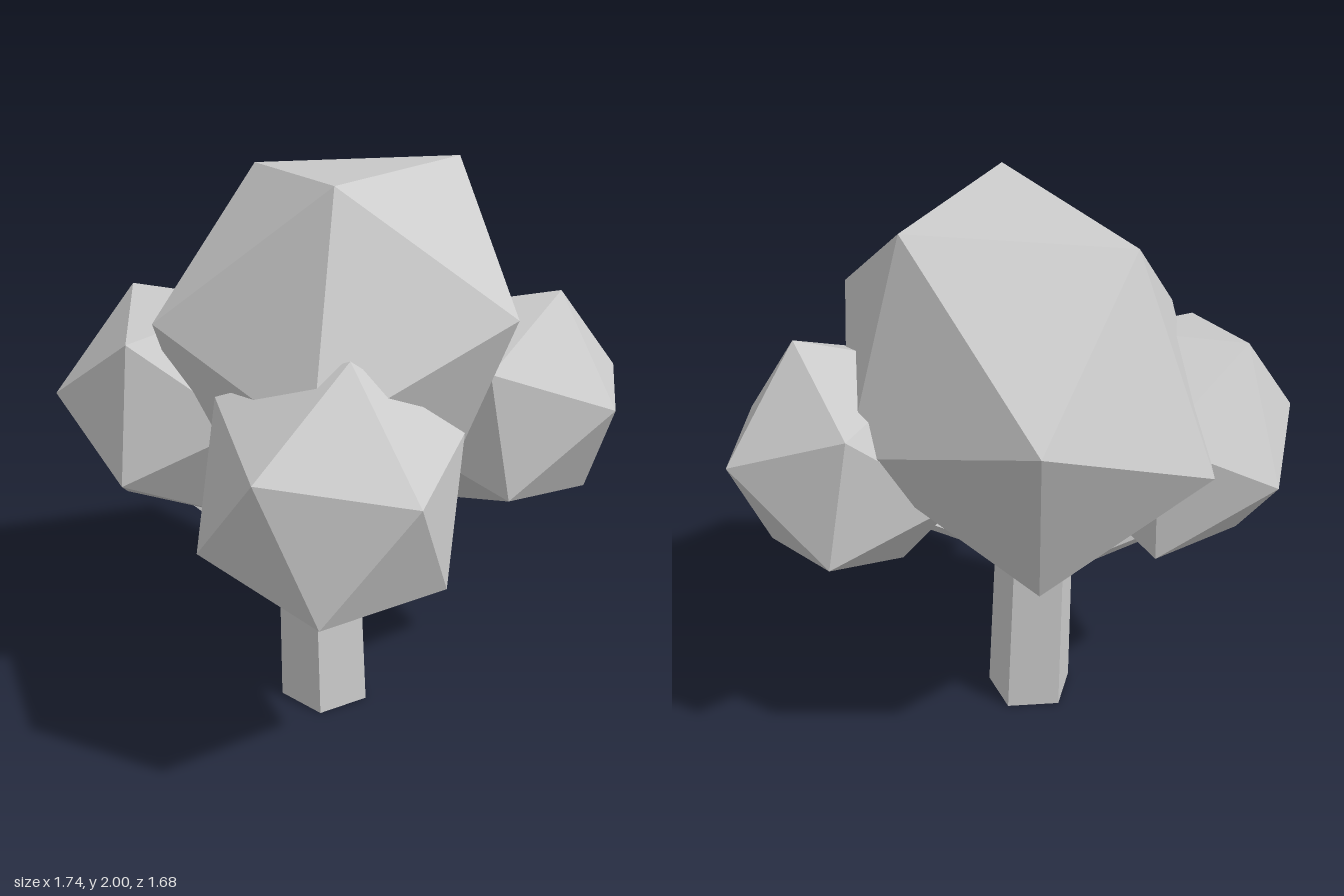
import * as THREE from 'three';
import { ConvexGeometry } from 'three/addons/geometries/ConvexGeometry.js';

const material = new THREE.MeshStandardMaterial({ color: 0xcccccc, flatShading: true });
const vec = (p) => new THREE.Vector3(...p);

function add(group, geometry, name) {
  const mesh = new THREE.Mesh(geometry, material);
  mesh.name = name;
  group.add(mesh);
  return mesh;
}

// Icosahedral leaf clump, set by its centre and the offsets of one face's corners.
// The corner across each edge follows from the golden ratio; the rest are opposite.
function leafClump(centre, a, b, c) {
  const o = vec(centre);
  const face = [a, b, c].map(vec);
  const k = (Math.sqrt(5) - 1) / 2;
  const across = face.map((v, i) =>
    face[(i + 1) % 3].clone().add(face[(i + 2) % 3]).multiplyScalar(k).sub(v));
  const points = [];
  for (const v of [...face, ...across]) points.push(o.clone().add(v), o.clone().sub(v));
  return new ConvexGeometry(points);
}

// Five-sided trunk, leaning slightly and narrowing to a blunt top
function trunkGeometry() {
  const profile = [[0, 0], [0.167, 0], [0.152, 0.7], [0.08, 0.92], [0, 0.92]]
    .map(([r, y]) => new THREE.Vector2(r, y));
  const geometry = new THREE.LatheGeometry(profile, 5, Math.PI);
  const pos = geometry.attributes.position;
  for (let i = 0; i < pos.count; i++) {
    pos.setX(i, pos.getX(i) + 0.015 - 0.035 * pos.getY(i));
    pos.setZ(i, pos.getZ(i) + 0.065);
  }
  return geometry;
}

// Short tapered branch between two points
function addBranch(group, from, to, name) {
  const start = vec(from), end = vec(to);
  const dir = end.clone().sub(start);
  const branch = add(group, new THREE.CylinderGeometry(0.045, 0.058, dir.length(), 5), name);
  branch.position.copy(start).add(end).multiplyScalar(0.5);
  branch.quaternion.setFromUnitVectors(new THREE.Vector3(0, 1, 0), dir.normalize());
}

export function createModel() {
  const group = new THREE.Group();
  group.name = 'tree';

  add(group, trunkGeometry(), 'trunk');

  addBranch(group, [-0.1, 0.585, 0.17], [-0.42, 0.77, 0.3], 'rightBranch');
  addBranch(group, [0.05, 0.56, 0.15], [0.31, 0.76, 0.36], 'leftBranch');
  addBranch(group, [0.09, 0.69, -0.01], [0.36, 0.92, -0.33], 'backBranch');

  add(group, leafClump([-0.01, 1.39, -0.045],
    [0.28, 0.61, 0.345], [0.17, 0.58, -0.425], [-0.45, 0.53, -0.045]), 'crown');
  add(group, leafClump([-0.44, 1.135, 0.3],
    [-0.245, 0.385, 0.01], [0.105, 0.315, 0.34], [-0.3, 0.045, 0.34]), 'rightLeaves');
  add(group, leafClump([0.365, 1.065, 0.42],
    [0.09, 0.465, 0.015], [0.075, 0.195, 0.42], [0.445, 0.125, 0.105]), 'leftLeaves');
  add(group, leafClump([0.425, 1.15, -0.445],
    [0.145, 0.41, -0.075], [0.19, 0.07, -0.395], [0.435, 0.07, 0.005]), 'backLeaves');

  return group;
}
